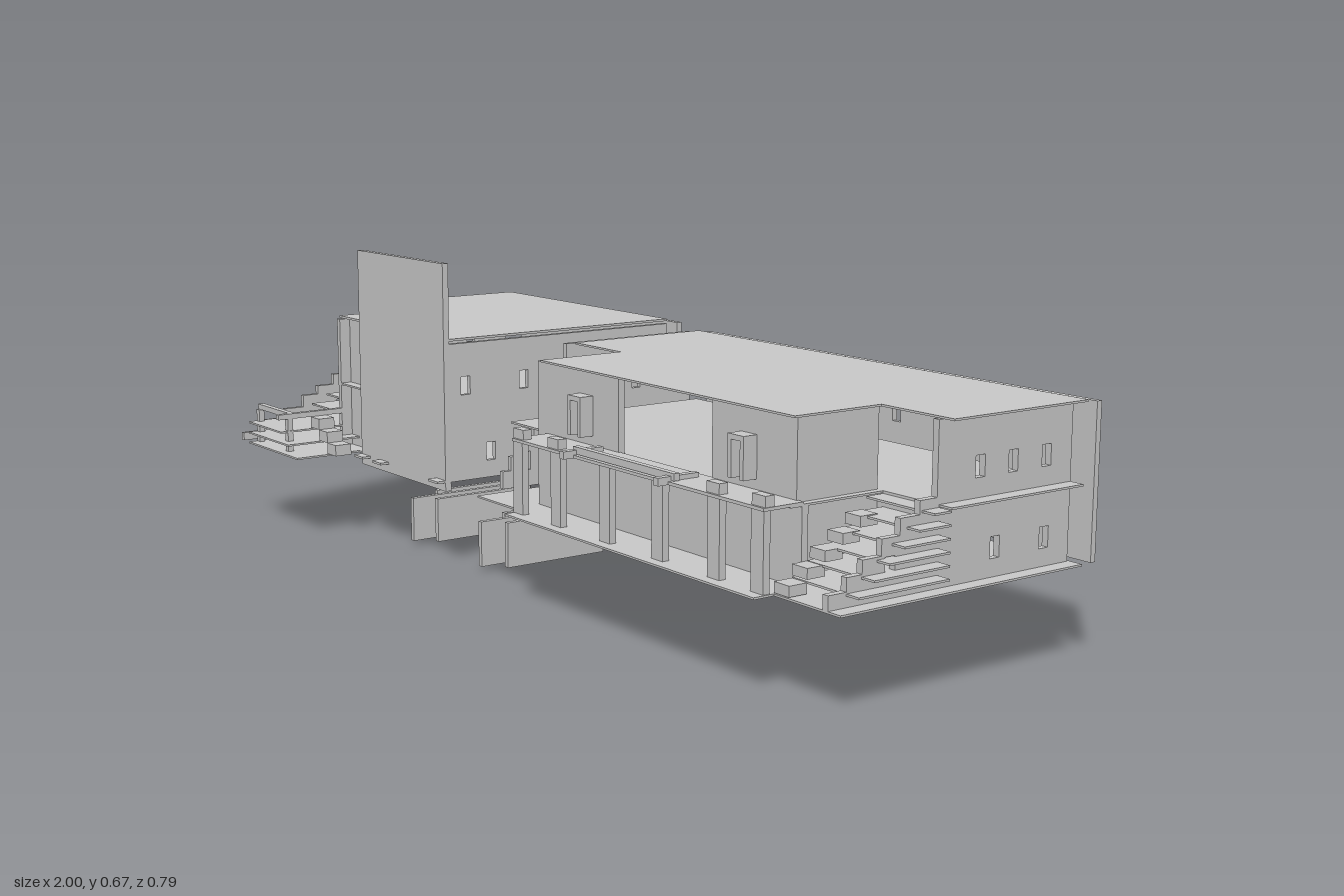
import * as THREE from 'three';

const mat = new THREE.MeshStandardMaterial({ color: 0xcccccc, flatShading: true, side: THREE.DoubleSide });

function add(parent, name, geo) {
  const m = new THREE.Mesh(geo, mat);
  m.name = name;
  parent.add(m);
  return m;
}

// Box given by its limits on each axis
function box(parent, name, x0, x1, y0, y1, z0, z1) {
  const m = add(parent, name, new THREE.BoxGeometry(x1 - x0, y1 - y0, z1 - z0));
  m.position.set((x0 + x1) / 2, (y0 + y1) / 2, (z0 + z1) / 2);
  return m;
}

// Outline with rectangular window holes
const WIN_W = 0.023, WIN_H = 0.04, LOW = 0.252, HIGH = 0.403;
function panel(points, windows = []) {
  const s = new THREE.Shape(points.map(p => new THREE.Vector2(p[0], p[1])));
  for (const [u, v] of windows) {
    const a = WIN_W / 2, b = WIN_H / 2;
    s.holes.push(new THREE.Path([[u - a, v - b], [u - a, v + b], [u + a, v + b], [u + a, v - b]]
      .map(p => new THREE.Vector2(...p))));
  }
  return s;
}
const rect = (a0, a1, b0, b1) => [[a0, b0], [a1, b0], [a1, b1], [a0, b1]];
const rows = (low, high) => [...low.map(u => [u, LOW]), ...high.map(u => [u, HIGH])];

// Wall facing z, outline in (x, y)
function wallZ(parent, name, shape, z0, z1) {
  add(parent, name, new THREE.ExtrudeGeometry(shape, { depth: z1 - z0, bevelEnabled: false })).position.z = z0;
}
// Wall facing x, outline in (z, y)
function wallX(parent, name, shape, x0, x1) {
  const g = new THREE.ExtrudeGeometry(shape, { depth: x1 - x0, bevelEnabled: false }).rotateY(-Math.PI / 2);
  add(parent, name, g).position.x = x1;
}
// Flat slab, outline in (x, z)
function slab(parent, name, points, y0, y1) {
  const g = new THREE.ExtrudeGeometry(panel(points), { depth: y1 - y0, bevelEnabled: false }).rotateX(Math.PI / 2);
  add(parent, name, g).position.y = y1;
}

// Side wall outline: full height at the back, stepping down toward the front
function steppedOutline(back, steps) {
  const pts = [[back, 0.197]];
  pts.push([steps[steps.length - 1][0], 0.197]);
  for (let i = steps.length - 1; i >= 0; i--) {
    pts.push([steps[i][0], steps[i][1]]);
    if (i > 0) pts.push([steps[i - 1][0], steps[i][1]]);
  }
  pts.push([back, steps[0][1]]);
  return pts;
}

function largeHouse() {
  const g = new THREE.Group();
  g.name = 'largeHouse';

  // Floors and roof
  slab(g, 'groundFloor', [[-0.13, -0.32], [1, -0.32], [1, 0.265], [0.83, 0.265], [0.83, 0.31], [0.045, 0.31],
    [0.045, 0.265], [-0.13, 0.265]], 0.194, 0.198);
  slab(g, 'upperFloor', [[-0.13, -0.315], [1, -0.315], [1, 0.015], [0.83, 0.015], [0.83, 0.23], [0.04, 0.23],
    [0.04, 0.18], [-0.13, 0.18]], 0.343, 0.347);
  slab(g, 'roof', [[-0.13, -0.32], [1, -0.32], [1, 0.015], [0.82, 0.015], [0.82, 0.215], [0.035, 0.215],
    [0.035, 0.015], [-0.13, 0.015]], 0.497, 0.501);
  box(g, 'underPlate', 0.45, 0.49, 0.187, 0.191, -0.185, -0.145);

  // Outer walls
  wallZ(g, 'backWall', panel(rect(-0.13, 1, 0.197, 0.496),
    rows([0.80, 0.69, 0.53, 0.36, 0.195, 0.025], [0.85, 0.735, 0.61, 0.485, 0.355, 0.23, 0.10, -0.02])), -0.355, -0.343);
  const lowZ = [-0.25, -0.125, 0.127], highZ = [-0.25, -0.165, -0.083];
  wallX(g, 'rightSteppedWall', panel(steppedOutline(-0.315, [[0.02, 0.496], [0.06, 0.36], [0.105, 0.335],
    [0.147, 0.305], [0.19, 0.275], [0.225, 0.25], [0.265, 0.225]]), rows(lowZ, highZ)), 0.955, 0.969);
  wallX(g, 'leftSteppedWall', panel(steppedOutline(-0.315, [[0.02, 0.496], [0.06, 0.36], [0.105, 0.33],
    [0.147, 0.30], [0.165, 0.265], [0.185, 0.235]]), rows([-0.25, -0.125, 0.127], highZ)), -0.168, -0.156);

  // Front: closed below, open bay in the middle above
  box(g, 'lowerFacade', 0.01, 0.83, 0.198, 0.343, 0.19, 0.204);
  for (const [a, b] of [[0.02, 0.29], [0.58, 0.815]]) box(g, 'upperFacade', a, b, 0.347, 0.496, 0.19, 0.204);
  for (const [a, b] of [[0.01, 0.024], [0.80, 0.815]]) box(g, 'returnWall', a, b, 0.198, 0.496, 0.015, 0.204);
  box(g, 'lowerRightWall', 0.815, 0.955, 0.198, 0.343, 0.005, 0.015);
  box(g, 'lowerLeftWall', -0.13, 0.01, 0.198, 0.343, 0.005, 0.015);

  // Balcony with pillars, window frames and rail
  box(g, 'balcony', 0.045, 0.83, 0.345, 0.351, 0.2, 0.29);
  for (const x of [0.06, 0.195, 0.36, 0.525, 0.69, 0.81])
    box(g, 'pillar', x - 0.017, x + 0.017, 0.198, 0.345, 0.272, 0.287);
  for (const x of [0.06, 0.81]) box(g, 'cornerBlock', x - 0.018, x + 0.018, 0.345, 0.371, 0.265, 0.285);
  for (const x of [0.183, 0.685]) {
    box(g, 'frameLeft', x - 0.022, x - 0.012, 0.37, 0.45, 0.2, 0.235);
    box(g, 'frameRight', x + 0.012, x + 0.022, 0.37, 0.45, 0.2, 0.235);
    box(g, 'frameTop', x - 0.022, x + 0.022, 0.44, 0.45, 0.2, 0.235);
    box(g, 'frameBlock', x - 0.018, x + 0.018, 0.351, 0.371, 0.265, 0.285);
  }
  box(g, 'balconyRail', 0.25, 0.57, 0.352, 0.366, 0.27, 0.283);
  for (const x of [0.255, 0.555]) box(g, 'railEnd', x - 0.007, x + 0.007, 0.345, 0.36, 0.22, 0.313);

  // Stepped terrace at the right corner
  for (let i = 0; i < 6; i++)
    box(g, 'terraceStep', 0.83, 1, 0.218 + i * 0.024, 0.222 + i * 0.024, 0.015, 0.225 - i * 0.034);
  for (let i = 0; i < 5; i++)
    box(g, 'terraceBlock', 0.83, 0.87, 0.2 + i * 0.025, 0.22 + i * 0.025, 0.225 - i * 0.04, 0.265 - i * 0.04);
  return g;
}

function smallHouse() {
  const g = new THREE.Group();
  g.name = 'smallHouse';

  // Floors and roof
  slab(g, 'groundFloor', [[-0.96, -0.355], [-0.295, -0.355], [-0.295, 0.23], [-0.71, 0.23], [-0.71, 0.39],
    [-0.96, 0.39]], 0.194, 0.198);
  slab(g, 'upperFloor', [[-0.96, -0.355], [-0.295, -0.355], [-0.295, 0.23], [-0.79, 0.23], [-0.79, 0.1],
    [-0.96, 0.1]], 0.343, 0.347);
  slab(g, 'roof', [[-0.96, -0.355], [-0.295, -0.355], [-0.295, 0.23], [-0.79, 0.23], [-0.79, 0.06],
    [-0.96, 0.06]], 0.502, 0.507);

  // Outer walls
  wallZ(g, 'backWall', panel(rect(-0.96, -0.295, 0.197, 0.496), rows([-0.69, -0.555, -0.42], [])), -0.398, -0.385);
  wallX(g, 'rightWall', panel(rect(-0.355, 0.23, 0.197, 0.496),
    rows([0.127, -0.03, -0.25], [0.19, 0.04, -0.11, -0.26])), -0.307, -0.295);
  wallX(g, 'leftSteppedWall', panel(steppedOutline(-0.355, [[0.06, 0.496], [0.105, 0.36], [0.147, 0.335],
    [0.19, 0.31], [0.23, 0.29], [0.28, 0.262], [0.335, 0.24], [0.39, 0.215]]),
    rows([-0.25, -0.125, 0.127], [-0.25, -0.14, -0.03])), -1, -0.988);
  box(g, 'notchWall', -0.96, -0.79, 0.198, 0.498, 0.045, 0.057);
  box(g, 'returnWall', -0.803, -0.79, 0.198, 0.498, 0.057, 0.23);
  box(g, 'facade', -0.79, -0.66, 0.198, 0.498, 0.19, 0.204);
  box(g, 'cornerPost', -0.84, -0.828, 0.198, 0.498, 0.057, 0.2);
  box(g, 'frame', -0.88, -0.866, 0.36, 0.45, 0.057, 0.09);

  // Tall front board with floor tabs
  box(g, 'frontBoard', -0.67, -0.295, 0.175, 0.67, 0.23, 0.244);
  for (const x of [-0.65, -0.565, -0.315]) box(g, 'floorTab', x - 0.02, x + 0.02, 0.194, 0.199, 0.23, 0.265);

  // Terrace: wide lower steps, narrow upper steps
  [-0.755, -0.79].forEach((x, i) =>
    box(g, 'deckStep', -0.96, x, 0.218 + i * 0.025, 0.222 + i * 0.025, 0.06, 0.39));
  for (let i = 0; i < 4; i++)
    box(g, 'terraceStep', -0.96, -0.79, 0.27 + i * 0.02, 0.274 + i * 0.02, 0.06, 0.222 - i * 0.041);
  box(g, 'deckRail', -0.96, -0.79, 0.275, 0.287, 0.35, 0.364);
  box(g, 'deckSideRail', -0.803, -0.79, 0.275, 0.287, 0.23, 0.395);
  for (const x of [-0.95, -0.8]) box(g, 'railPost', x - 0.007, x + 0.007, 0.198, 0.275, 0.357, 0.37);
  [[-0.79, 0.25], [-0.75, 0.225], [-0.71, 0.2]].forEach(([x, y]) =>
    box(g, 'stairBlock', x, x + 0.04, y, y + 0.025, 0.272, 0.312));

  // Loose upright fins under the house
  for (const xs of [[-0.58, -0.54, -0.5], [-0.29, -0.247, -0.205]])
    xs.forEach((x, i) => box(g, 'fin', x - 0.006, x + 0.006, 0.01, 0.11, -0.105, [0.1, 0.188, 0.147][i]));
  box(g, 'smallFin', -0.757, -0.743, 0, 0.1, -0.27, -0.229);
  return g;
}

export function createModel() {
  const model = new THREE.Group();
  model.name = 'houses';
  model.add(largeHouse(), smallHouse());
  return model;
}
